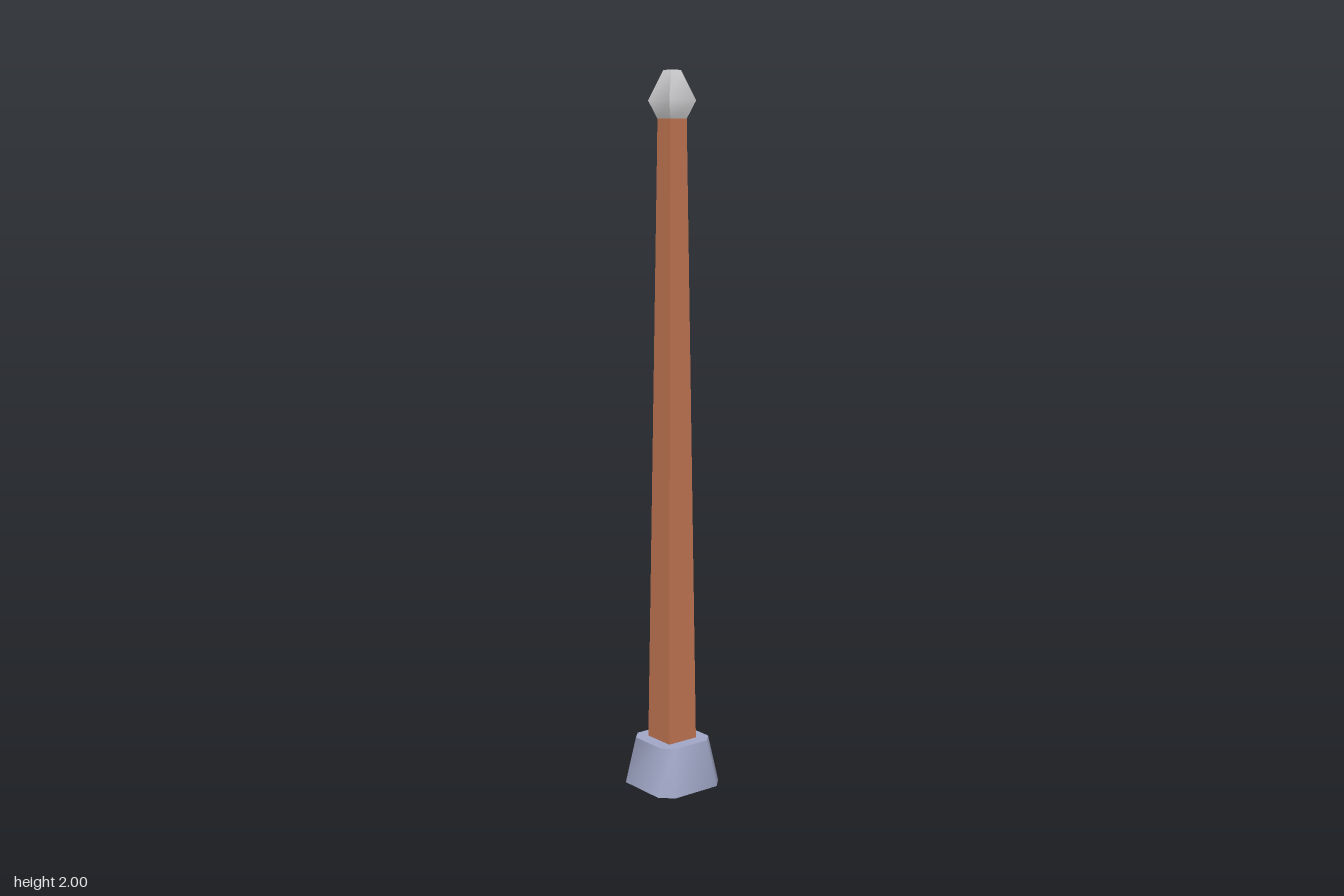
import * as THREE from 'three';
import { toCreasedNormals } from 'three/addons/utils/BufferGeometryUtils.js';

const CREASE = THREE.MathUtils.degToRad(50);

// Corners of a square ring at height y, counter-clockwise seen from +z towards +x;
// inner < half cuts the corners off to make an octagon.
function ring(y, half, inner = half) {
  const points = [];
  for (let i = 0; i < 4; i++) {
    const corners = inner < half ? [[inner, half], [half, inner]] : [[half, half]];
    for (const [x, z] of corners) {
      points.push(new THREE.Vector3(x, y, z).applyAxisAngle(new THREE.Vector3(0, 1, 0), i * Math.PI / 2));
    }
  }
  return points;
}

// Closed solid lofted through rings listed from bottom to top.
function loft(name, rings, material) {
  const vertices = [];
  const triangle = (...points) => points.forEach((p) => vertices.push(p.x, p.y, p.z));
  const n = rings[0].length;
  for (let r = 0; r < rings.length - 1; r++) {
    const low = rings[r], high = rings[r + 1];
    for (let i = 0; i < n; i++) {
      const j = (i + 1) % n;
      triangle(low[i], low[j], high[j]);
      triangle(low[i], high[j], high[i]);
    }
  }
  const bottom = rings[0], top = rings[rings.length - 1];
  for (let i = 1; i < n - 1; i++) {
    triangle(bottom[0], bottom[i + 1], bottom[i]);
    triangle(top[0], top[i], top[i + 1]);
  }
  const geometry = new THREE.BufferGeometry();
  geometry.setAttribute('position', new THREE.Float32BufferAttribute(vertices, 3));
  const mesh = new THREE.Mesh(toCreasedNormals(geometry, CREASE), material);
  mesh.name = name;
  return mesh;
}

function flatColor(name, color) {
  const material = new THREE.MeshStandardMaterial({ color });
  material.name = name;
  return material;
}

export function createModel() {
  const stone = flatColor('blue grey stone', 0xa0a7c6);
  const wood = flatColor('red brown wood', 0xc07452);
  const metal = flatColor('light grey metal', 0xd2d2d4);

  const group = new THREE.Group();
  group.name = 'post';
  group.add(
    // Tapered footing with cut corners
    loft('footing', [ring(0.001, 0.11, 0.075), ring(0.135, 0.086, 0.058)], stone),
    // Slim square shaft running down through the footing
    loft('shaft', [ring(0, 0.05), ring(1.875, 0.028)], wood),
    // Bulging square tip with a blunt top
    loft('tip', [ring(1.872, 0.028), ring(1.92, 0.046), ring(2, 0.017)], metal),
  );
  return group;
}
